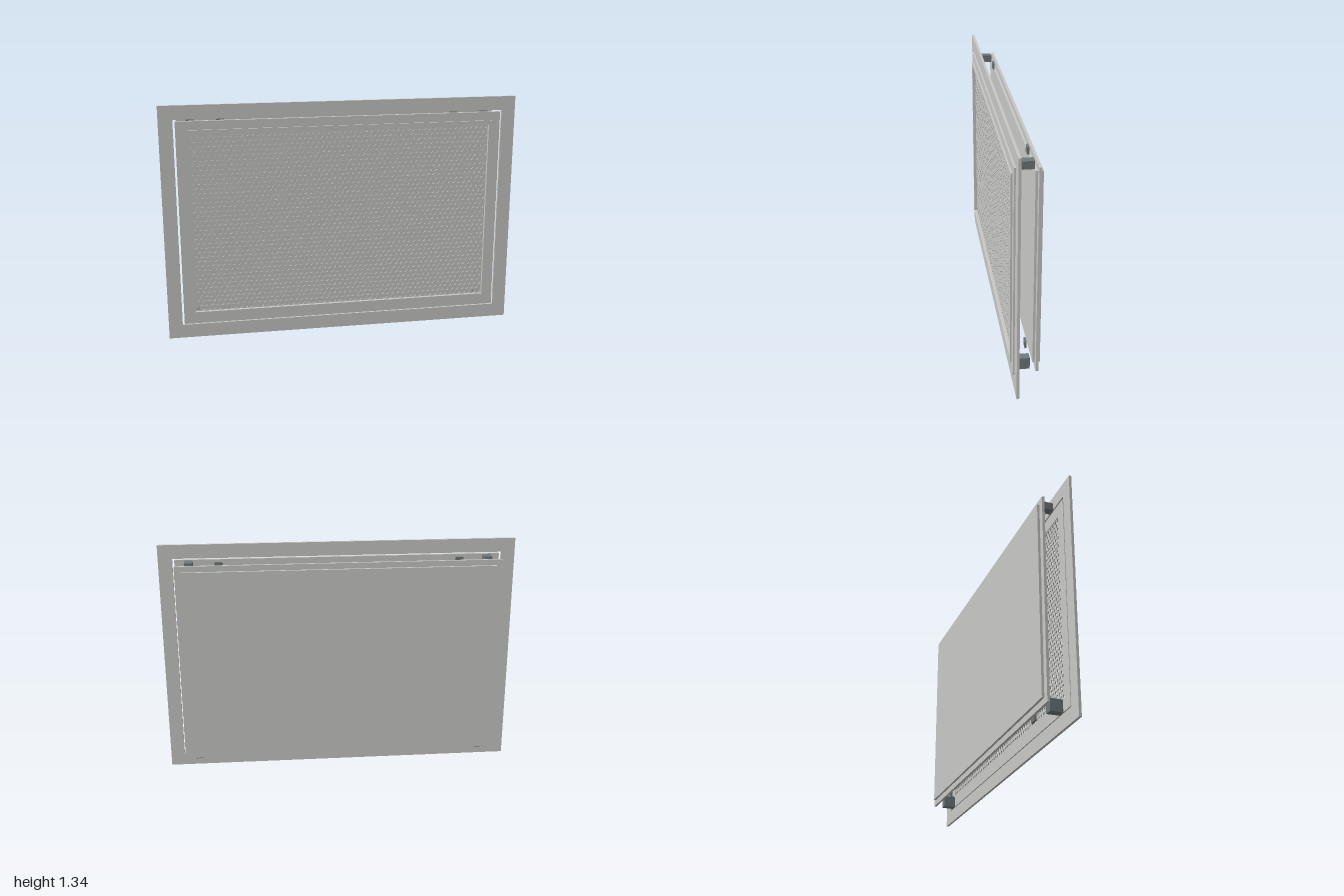
import * as THREE from 'three';
import { mergeGeometries } from 'three/addons/utils/BufferGeometryUtils.js';

const CY = 0.668; // height of the panel centre

export function createModel() {
  const group = new THREE.Group();
  const metal = new THREE.MeshStandardMaterial({ color: 0xc8c8c6 });
  metal.name = 'light grey metal';
  const dark = new THREE.MeshStandardMaterial({ color: 0x70797c });
  dark.name = 'dark grey fitting';

  const add = (name, geometry, material) => {
    const mesh = new THREE.Mesh(geometry, material);
    mesh.name = name;
    group.add(mesh);
    return mesh;
  };

  const rect = (target, w, h) => {
    target.moveTo(-w, -h);
    target.lineTo(w, -h);
    target.lineTo(w, h);
    target.lineTo(-w, h);
    target.closePath();
    return target;
  };

  // Rectangular ring given by half sizes, from z0 to z1
  const ring = (name, w, h, iw, ih, z0, z1) => {
    const shape = rect(new THREE.Shape(), w, h);
    shape.holes.push(rect(new THREE.Path(), iw, ih));
    const geo = new THREE.ExtrudeGeometry(shape, { depth: z1 - z0, bevelEnabled: false });
    add(name, geo.translate(0, CY, z0), metal);
  };

  // Solid box given by its limits
  const block = (name, x0, x1, y0, y1, z0, z1, material) => {
    const geo = new THREE.BoxGeometry(x1 - x0, y1 - y0, z1 - z0);
    add(name, geo.translate((x0 + x1) / 2, (y0 + y1) / 2, (z0 + z1) / 2), material);
  };

  // Front frame, with a narrow gap around the stepped door
  ring('outerFrame', 1, CY, 0.922, 0.59, 0.048, 0.062);
  ring('doorFrame', 0.911, 0.582, 0.845, 0.512, 0.05, 0.069);
  ring('doorTrim', 0.866, 0.534, 0.845, 0.512, 0.069, 0.078);

  // Perforated sheet: staggered rows of round holes
  const W = 0.845, H = 0.512, cols = 56, rows = 39;
  const pitch = (2 * W) / cols, rowPitch = (2 * H) / rows;
  const makeRow = (stagger) => {
    const shape = rect(new THREE.Shape(), W, rowPitch / 2);
    for (let i = 0; i < cols - stagger; i++) {
      const hole = new THREE.Path();
      hole.absarc(-W + (i + 0.5 + stagger / 2) * pitch, 0, 0.0105, 0, Math.PI * 2, true);
      shape.holes.push(hole);
    }
    return new THREE.ExtrudeGeometry(shape, { depth: 0.006, bevelEnabled: false, curveSegments: 4 });
  };
  const rowTypes = [makeRow(0), makeRow(1)];
  const strips = [];
  for (let r = 0; r < rows; r++) {
    strips.push(rowTypes[r % 2].clone().translate(0, CY - H + (r + 0.5) * rowPitch, 0.054));
  }
  add('perforatedSheet', mergeGeometries(strips), metal);

  // Back panel with a protruding rim
  block('backPanel', -0.872, 0.872, 0.127, 1.21, -0.078, -0.039, metal);
  block('backPanelRim', -0.906, 0.906, 0.095, 1.242, -0.065, -0.051, metal);

  // Corner spacers and small clips between door and back panel
  for (const s of [-1, 1]) {
    const span = (a, b) => (s > 0 ? [a, b] : [-b, -a]);
    block('topSpacer', ...span(0.808, 0.852), 1.212, 1.254, -0.039, 0.022, dark);
    block('bottomSpacer', ...span(0.808, 0.852), 0.074, 0.14, -0.029, 0.039, dark);
    block('topClip', ...span(0.643, 0.687), 1.215, 1.254, -0.039, -0.028, dark);
    block('bottomClip', ...span(0.643, 0.687), 0.085, 0.127, -0.039, -0.028, dark);
  }
  return group;
}
